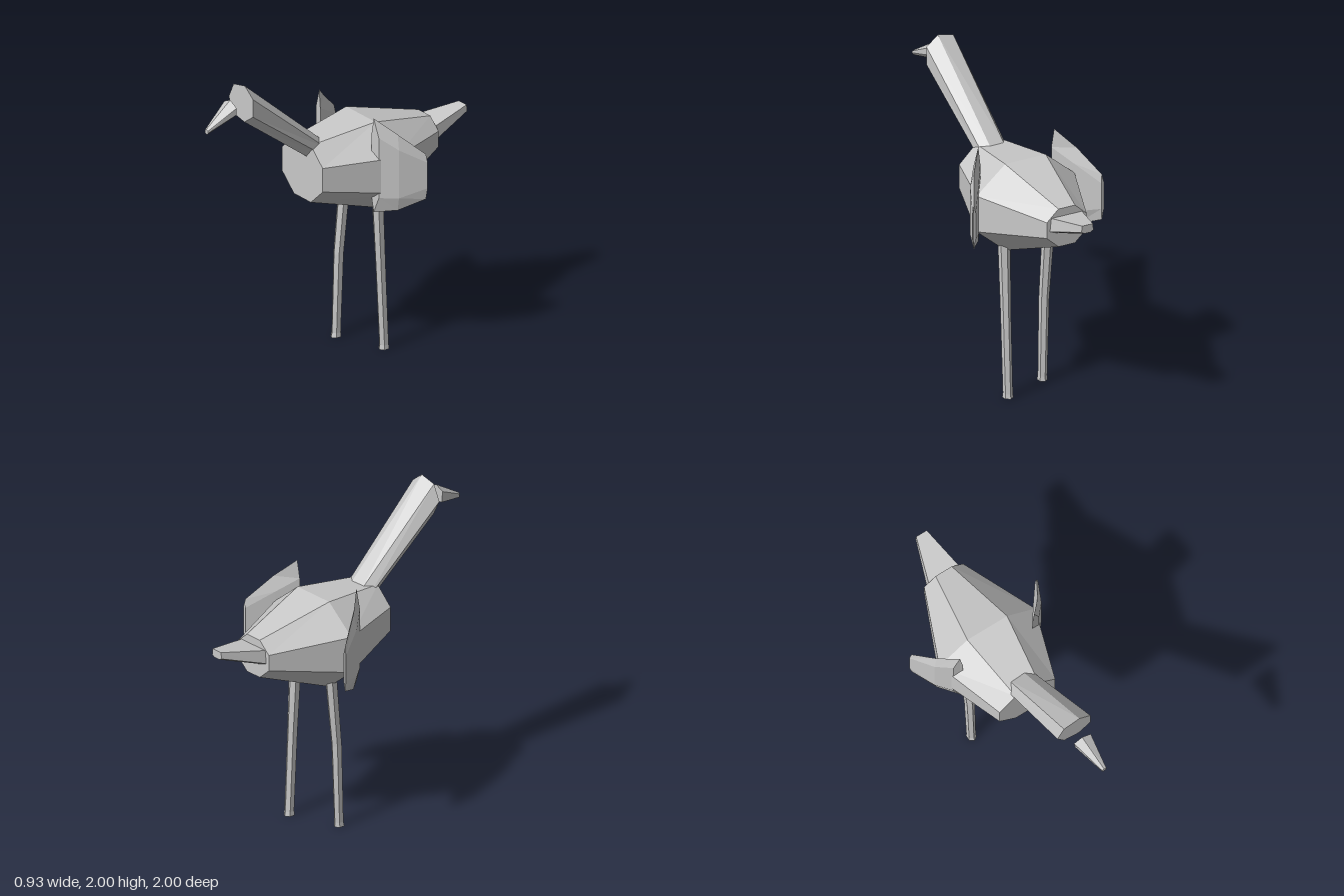
import * as THREE from 'three';

// Skin through matching convex rings of [x, y, z] points, with both ends closed.
function loft(rings) {
  const n = rings[0].length, tris = [];
  for (let r = 0; r < rings.length - 1; r++) {
    for (let i = 0; i < n; i++) {
      const j = (i + 1) % n;
      const a = rings[r][i], b = rings[r][j], c = rings[r + 1][j], d = rings[r + 1][i];
      tris.push([a, b, c], [a, c, d]);
    }
  }
  const first = rings[0], last = rings[rings.length - 1];
  for (let i = 1; i < n - 1; i++) {
    tris.push([first[0], first[i + 1], first[i]], [last[0], last[i], last[i + 1]]);
  }
  // Signed volume tells whether the faces look outward
  const o = new THREE.Vector3(...first[0]);
  let volume = 0;
  for (const t of tris) {
    const [a, b, c] = t.map((p) => new THREE.Vector3(...p).sub(o));
    volume += a.dot(b.cross(c));
  }
  if (volume < 0) tris.forEach((t) => t.reverse());
  const geometry = new THREE.BufferGeometry();
  geometry.setAttribute('position', new THREE.Float32BufferAttribute(tris.flat(2), 3));
  geometry.computeVertexNormals();
  return geometry;
}

// Horizontal-axis ring at depth z from [x, y] points
const atDepth = (z, points) => points.map(([x, y]) => [x, y, z]);

// Octagon with flat top, bottom and sides
function octagon(z, cy, halfW, halfH) {
  const k = Math.tan(Math.PI / 8);
  const corners = [[1, k], [k, 1], [-k, 1], [-1, k], [-1, -k], [-k, -1], [k, -1], [1, -k]];
  return atDepth(z, corners.map(([x, y]) => [x * halfW, cy + y * halfH]));
}

// Level hexagon for the legs, with corners to the front and back
function hexagon(x, y, z, rx, rz) {
  return Array.from({ length: 6 }, (_, i) => {
    const a = (i * Math.PI) / 3;
    return [x + Math.sin(a) * rx / 0.866, y, z + Math.cos(a) * rz];
  });
}

export function createModel() {
  const group = new THREE.Group();
  const grey = new THREE.MeshStandardMaterial({ color: 0xc8c8c8 });
  grey.name = 'plain grey';
  grey.flatShading = true;
  const add = (name, rings) => {
    const mesh = new THREE.Mesh(loft(rings), grey);
    mesh.name = name;
    group.add(mesh);
  };

  // Faceted body, widest behind the middle
  add('body', [
    octagon(0.22, 1.28, 0.2, 0.19),
    octagon(-0.23, 1.235, 0.345, 0.285),
    octagon(-0.72, 1.265, 0.14, 0.125),
  ]);

  // Uneven seven-sided neck rising forward from the shoulders
  add('neck', [
    atDepth(0.1, [[-0.1, 1.39], [-0.06, 1.455], [0.04, 1.46], [0.09, 1.42],
      [0.095, 1.36], [0.035, 1.29], [-0.05, 1.295]]),
    atDepth(0.71, [[-0.098, 1.873], [-0.05, 1.975], [0.06, 2], [0.14, 1.937],
      [0.14, 1.82], [0.055, 1.757], [-0.05, 1.778]]),
  ]);

  // Separate beak pointing down and forward
  add('beak', [
    atDepth(0.795, [[-0.033, 1.89], [0.025, 1.918], [0.087, 1.885],
      [0.087, 1.84], [0.05, 1.808], [-0.025, 1.815]]),
    atDepth(1, [[0.038, 1.782], [0.052, 1.79], [0.068, 1.784],
      [0.07, 1.772], [0.06, 1.758], [0.04, 1.76]]),
  ]);

  // Flattened tail
  add('tail', [
    atDepth(-0.71, [[0.11, 1.337], [0.12, 1.25], [0.07, 1.23],
      [-0.07, 1.23], [-0.12, 1.25], [-0.11, 1.337]]),
    atDepth(-1, [[0.058, 1.383], [0.062, 1.342], [0.04, 1.33],
      [0, 1.33], [-0.022, 1.342], [-0.018, 1.383]]),
  ]);

  // Wings: [ridge x, z, top, bottom], [outer x, z], [inner x, z], [face top, bottom]
  const stations = [
    [[0.267, -0.12, 1.62, 0.995], [0.307, -0.128], [0.25, -0.115], [1.5, 1.1]],
    [[0.362, -0.23, 1.515, 1.01], [0.385, -0.222], [0.335, -0.238], [1.42, 1.1]],
    [[0.45, -0.378, 1.375, 1.075], [0.463, -0.382], [0.442, -0.385], [1.32, 1.15]],
  ];
  for (const [name, s] of [['leftWing', 1], ['rightWing', -1]]) {
    add(name, stations.map(([[x, z, top, low], [ox, oz], [ix, iz], [up, down]]) => [
      [s * x, top, z], [s * ox, up, oz], [s * ox, down, oz],
      [s * x, low, z], [s * ix, down, iz], [s * ix, up, iz],
    ]));
  }

  // Legs: the left stands back, the right is bent forward
  add('leftLeg', [
    hexagon(0.157, 0, -0.285, 0.029, 0.037),
    hexagon(0.157, 0.03, -0.285, 0.026, 0.032),
    hexagon(0.157, 0.55, -0.26, 0.027, 0.035),
    hexagon(0.155, 1.06, -0.235, 0.034, 0.038),
  ]);
  add('rightLeg', [
    hexagon(-0.158, 0, -0.162, 0.027, 0.037),
    hexagon(-0.158, 0.03, -0.165, 0.024, 0.032),
    hexagon(-0.158, 0.55, -0.183, 0.027, 0.035),
    hexagon(-0.16, 1.06, -0.235, 0.033, 0.038),
  ]);

  return group;
}
